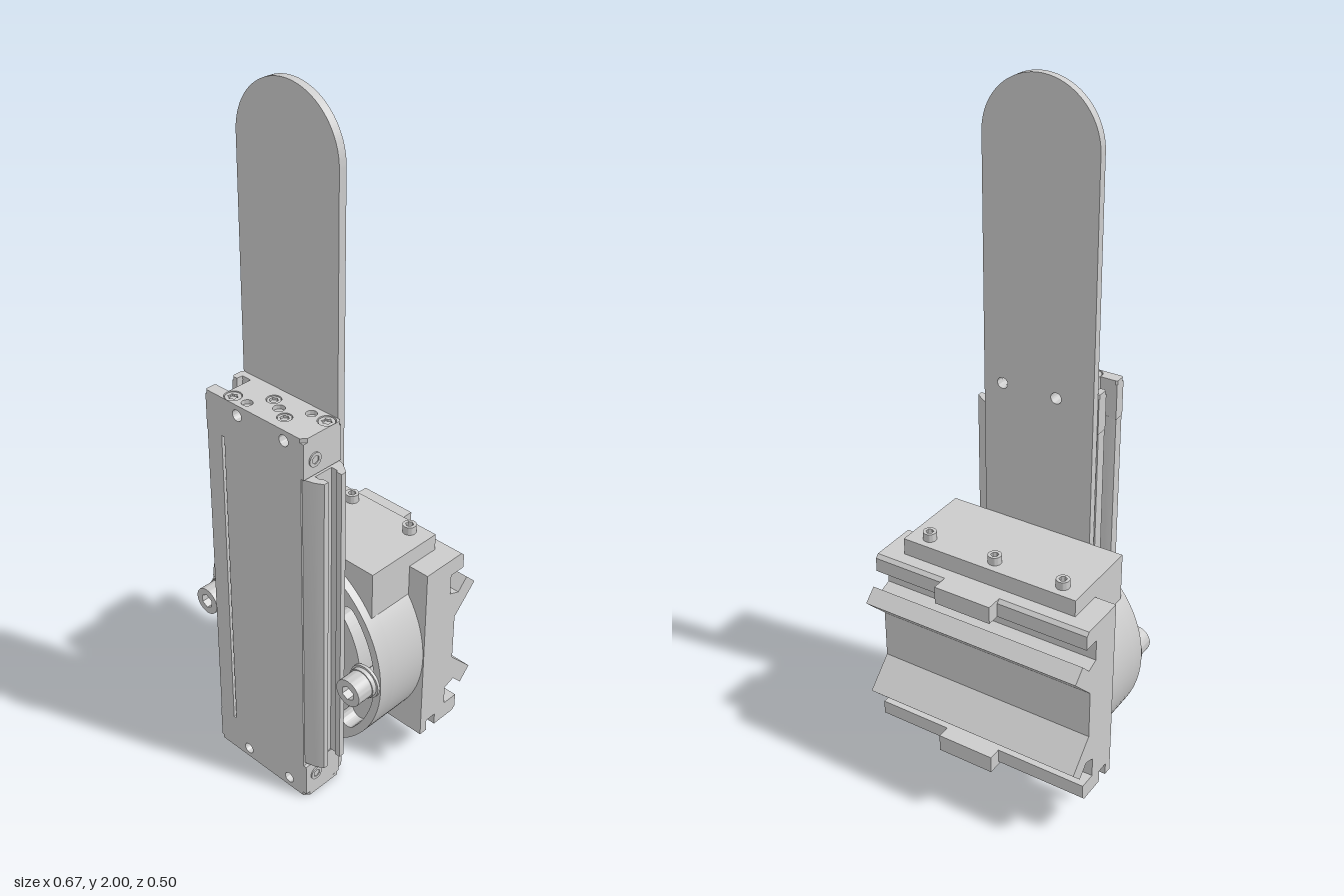
import * as THREE from 'three';
import { toCreasedNormals } from 'three/addons/utils/BufferGeometryUtils.js';

const grey = new THREE.MeshStandardMaterial({ color: 0xcccccc });

function add(parent, name, geo, x = 0, y = 0, z = 0) {
  const m = new THREE.Mesh(geo, grey);
  m.name = name;
  m.position.set(x, y, z);
  parent.add(m);
  return m;
}
const poly = (pts) => new THREE.Shape(pts.map(([a, b]) => new THREE.Vector2(a, b)));
const rect = (x0, y0, x1, y1) => poly([[x0, y0], [x1, y0], [x1, y1], [x0, y1]]);
const disc = (x, y, r) => new THREE.Shape().absarc(x, y, r, 0, Math.PI * 2);
const extrude = (shape, depth, seg = 20) =>
  toCreasedNormals(new THREE.ExtrudeGeometry(shape, { depth, bevelEnabled: false, curveSegments: seg }), 0.5);
const box = (p, name, x0, x1, y0, y1, z0, z1) =>
  add(p, name, new THREE.BoxGeometry(x1 - x0, y1 - y0, z1 - z0), (x0 + x1) / 2, (y0 + y1) / 2, (z0 + z1) / 2);
// (x, z) outline raised from y0 to y1
const upright = (shape, y0, y1) => extrude(shape, y1 - y0).rotateX(Math.PI / 2).translate(0, y1, 0);
// (z, y) outline run along x, from x0 to x1
const across = (shape, x0, x1) => extrude(shape, x1 - x0).rotateY(-Math.PI / 2).translate(x1, 0, 0);

// Socket screw standing on its origin and pointing to +z
function screw(name, r, h, socket, sides = 6) {
  const g = new THREE.Group();
  g.name = name;
  const ring = disc(0, 0, r);
  const hole = [];
  for (let i = 0; i < sides; i++) {
    const a = (i / sides) * Math.PI * 2 + Math.PI / 2;
    const s = sides > 6 && i % 2 ? socket * 0.7 : socket;
    hole.push([Math.cos(a) * s, Math.sin(a) * s]);
  }
  ring.holes.push(poly(hole));
  add(g, 'screwHead', extrude(ring, h), 0, 0, 0);
  add(g, 'socketFloor', new THREE.CircleGeometry(r * 0.98, 24), 0, 0, h * 0.35);
  return g;
}

export function createModel() {
  const root = new THREE.Group();
  root.name = 'slideMount';
  const cy = 0.415;
  const holeX = [-0.055, 0.11];

  // Long rounded blade behind the slide
  const blade = new THREE.Shape();
  blade.moveTo(-0.167, 0.01);
  blade.lineTo(0.167, 0.01);
  blade.lineTo(0.167, 1.833);
  blade.absarc(0, 1.833, 0.167, 0, Math.PI, false);
  for (const x of holeX) for (const y of [0.03, 1.16]) blade.holes.push(disc(x, y, 0.016));
  add(root, 'blade', extrude(blade, 0.023, 32), 0, 0, 0.097);

  // Slide body and its side rail
  const slide = new THREE.Group();
  slide.name = 'slide';
  root.add(slide);
  const body = poly([
    [-0.155, 0.12], [0.168, 0.12], [0.168, 0.25], [-0.105, 0.25], [-0.105, 0.225], [-0.115, 0.225],
    [-0.115, 0.25], [-0.168, 0.25], [-0.168, 0.22], [-0.15, 0.215], [-0.12, 0.215], [-0.12, 0.14],
    [-0.15, 0.14], [-0.155, 0.158], [-0.168, 0.158], [-0.168, 0.125],
  ]);
  add(slide, 'slideBody', upright(body, 0.11, 1.08));
  const rail = poly([
    [0.166, 0.12], [0.19, 0.125], [0.222, 0.147], [0.222, 0.163], [0.205, 0.163], [0.2, 0.157], [0.182, 0.157],
    [0.182, 0.215], [0.2, 0.215], [0.205, 0.209], [0.222, 0.209], [0.222, 0.224], [0.2, 0.236], [0.166, 0.246],
  ]);
  add(slide, 'sideRail', upright(rail, 0.125, 1.072));

  // End caps, top and bottom
  const endHoles = [
    [0.155, 0.146, 0.024, 12], [-0.095, 0.224, 0.024, 12], [-0.01, 0.165, 0.02, 6], [0.07, 0.206, 0.02, 6],
    [0.105, 0.148, 0.015, 0], [-0.045, 0.223, 0.015, 0], [0.03, 0.186, 0.016, 0],
  ];
  for (const top of [true, false]) {
    const cap = new THREE.Group();
    cap.name = top ? 'topCap' : 'bottomCap';
    slide.add(cap);
    const span = (a, b) => (top ? [a, b] : [1.19 - b, 1.19 - a]);
    const [c0, c1] = span(1.075, 1.178);
    const core = rect(-0.12, c0, 0.178, c1);
    const holeY = top ? 1.16 : 0.03;
    for (const x of holeX) core.holes.push(disc(x, holeY, 0.016));
    add(cap, 'capCore', extrude(core, 0.13), 0, 0, 0.12);
    box(cap, 'rearLip', -0.17, -0.12, c0, c1, 0.12, 0.14);
    box(cap, 'rearLipTip', -0.17, -0.152, c0, c1, 0.139, 0.158);
    box(cap, 'frontLip', -0.17, -0.12, c0, c1, 0.216, 0.25);
    // End plate with recessed screws and plain holes
    const plate = poly([
      [-0.165, 0.12], [0.172, 0.12], [0.178, 0.126], [0.178, 0.236], [0.165, 0.25], [-0.165, 0.25], [-0.17, 0.245],
      [-0.17, 0.22], [-0.165, 0.216], [-0.12, 0.216], [-0.12, 0.14], [-0.15, 0.14], [-0.152, 0.158],
      [-0.165, 0.158], [-0.17, 0.153], [-0.17, 0.125],
    ]);
    for (const [x, z, r] of endHoles) plate.holes.push(disc(x, z, r));
    add(cap, 'endPlate', upright(plate, ...span(1.178, 1.19)));
    for (const [x, z, r, sides] of endHoles) {
      if (!sides) continue;
      const s = screw('endScrew', r * 0.9, 0.01, r * 0.6, sides);
      s.rotation.x = top ? -Math.PI / 2 : Math.PI / 2;
      s.position.set(x, top ? 1.178 : 0.012, z);
      cap.add(s);
    }
    const sideY = top ? 1.12 : 0.07;
    const s = screw('sideScrew', 0.02, 0.004, 0.012);
    s.rotation.y = Math.PI / 2;
    s.position.set(0.178, sideY, 0.212);
    cap.add(s);
    add(cap, 'sideStub', new THREE.CylinderGeometry(0.009, 0.009, 0.02, 16).rotateZ(Math.PI / 2), -0.122, sideY, 0.187);
  }

  // Swivel drum with two curved slots in its front disc
  add(root, 'drum', new THREE.CylinderGeometry(0.33, 0.33, 0.19, 72).rotateX(Math.PI / 2), 0, cy, -0.025);
  const face = disc(0, 0, 0.33);
  const R = 0.28, w = 0.026, half = 0.72;
  for (const mid of [0, Math.PI]) {
    const a = mid - half, b = mid + half;
    const slot = new THREE.Path();
    slot.absarc(0, 0, R + w, a, b, false);
    slot.absarc(Math.cos(b) * R, Math.sin(b) * R, w, b, b + Math.PI, false);
    slot.absarc(0, 0, R - w, b, a, true);
    slot.absarc(Math.cos(a) * R, Math.sin(a) * R, w, a + Math.PI, a + Math.PI * 2, false);
    face.holes.push(slot);
  }
  add(root, 'drumFace', extrude(face, 0.05, 36), 0, cy, 0.07);

  // Clamp bolts in the slots
  for (const x of [-0.277, 0.277]) {
    add(root, 'washer', new THREE.CylinderGeometry(0.05, 0.05, 0.009, 32).rotateX(Math.PI / 2), x, cy, 0.1235);
    add(root, 'boltCollar', new THREE.CylinderGeometry(0.044, 0.044, 0.014, 32).rotateX(Math.PI / 2), x, cy, 0.134);
    add(root, 'boltShank', new THREE.CylinderGeometry(0.022, 0.022, 0.06, 20).rotateX(Math.PI / 2), x, cy, 0.095);
    const bolt = screw('clampBolt', 0.041, 0.055, 0.022);
    bolt.position.set(x, cy, 0.137);
    root.add(bolt);
  }

  // Top block with three screws
  box(root, 'topBlock', -0.27, 0.27, 0.608, 0.75, -0.153, 0.095);
  for (const x of [-0.21, 0, 0.21]) {
    const s = screw('blockScrew', 0.019, 0.024, 0.011);
    s.rotation.x = -Math.PI / 2;
    s.position.set(x, 0.75, -0.115);
    root.add(s);
  }

  // Rear plate with hooked edges and two slanted ridges
  const rear = poly([
    [-0.05, 0.7], [-0.05, 0.138], [-0.075, 0.138], [-0.075, 0.175], [-0.11, 0.175], [-0.11, 0.138],
    [-0.19, 0.138], [-0.2, 0.148], [-0.2, 0.19], [-0.15, 0.19], [-0.15, 0.25], [-0.185, 0.262],
    [-0.218, 0.228], [-0.254, 0.266], [-0.175, 0.346], [-0.175, 0.492], [-0.254, 0.571],
    [-0.218, 0.606], [-0.185, 0.572], [-0.15, 0.585], [-0.15, 0.648], [-0.2, 0.648], [-0.2, 0.69], [-0.19, 0.7],
  ]);
  add(root, 'rearPlate', across(rear, -0.333, 0.333));
  box(root, 'upperLug', -0.062, 0.111, 0.648, 0.7, -0.238, -0.17);
  box(root, 'lowerLug', -0.062, 0.111, 0.138, 0.19, -0.238, -0.17);

  return root;
}
